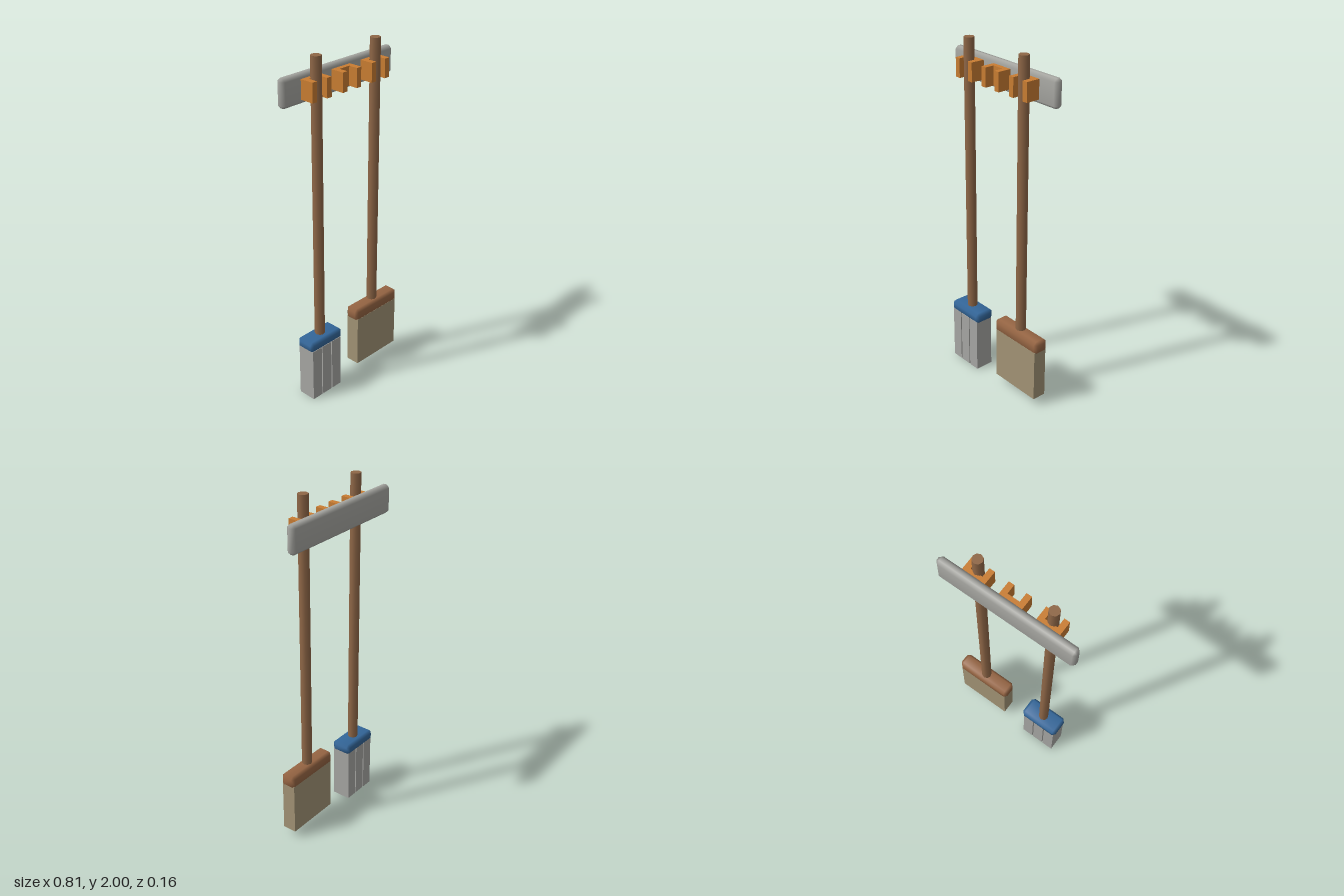
import * as THREE from 'three';
import { mergeVertices } from 'three/addons/utils/BufferGeometryUtils.js';
import { ConvexGeometry } from 'three/addons/geometries/ConvexGeometry.js';

function flatColour(name, color) {
  const m = new THREE.MeshStandardMaterial({ color });
  m.name = name;
  return m;
}

// Box with single-step bevels on every edge and smooth normals
function bevelBox(w, h, d, b) {
  const pts = [];
  for (const x of [-w / 2, w / 2]) for (const y of [-h / 2, h / 2]) for (const z of [-d / 2, d / 2]) {
    const ix = x - Math.sign(x) * b, iy = y - Math.sign(y) * b, iz = z - Math.sign(z) * b;
    pts.push(new THREE.Vector3(x, iy, iz), new THREE.Vector3(ix, y, iz), new THREE.Vector3(ix, iy, z));
  }
  const hull = new ConvexGeometry(pts);
  hull.deleteAttribute('normal');
  const geo = mergeVertices(hull, 1e-5);
  geo.computeVertexNormals();
  return geo;
}

export function createModel() {
  const model = new THREE.Group();
  model.name = 'toolRack';

  const boardGrey = flatColour('boardGrey', 0xa6a6a1);
  const clipOrange = flatColour('clipOrange', 0xc97d32);
  const poleBrown = flatColour('poleBrown', 0x8f6747);
  const headBrown = flatColour('headBrown', 0x966543);
  const headBlue = flatColour('headBlue', 0x336699);
  const mopGrey = flatColour('mopGrey', 0xa6a6a3);
  const strawTan = flatColour('strawTan', 0xa29375);

  const add = (parent, name, geo, mat, x, y, z) => {
    const mesh = new THREE.Mesh(geo, mat);
    mesh.name = name;
    mesh.position.set(x, y, z);
    parent.add(mesh);
  };
  // Box given by its limits on each axis
  const addBox = (parent, name, mat, [x0, x1], [y0, y1], [z0, z1], bevel = 0) => {
    const size = [x1 - x0, y1 - y0, z1 - z0];
    const geo = bevel ? bevelBox(...size, bevel) : new THREE.BoxGeometry(...size);
    add(parent, name, geo, mat, (x0 + x1) / 2, (y0 + y1) / 2, (z0 + z1) / 2);
  };
  const addPole = (parent, x, y0) =>
    add(parent, 'pole', new THREE.CylinderGeometry(0.029, 0.029, 2 - y0, 8), poleBrown, x, (2 + y0) / 2, 0.015);

  // Wall board
  addBox(model, 'wallBoard', boardGrey, [-0.404, 0.404], [1.749, 1.906], [-0.08, -0.027], 0.017);

  // Three U-shaped clips
  for (const x of [-0.215, 0, 0.215]) {
    const clip = new THREE.Group();
    clip.name = 'clip';
    clip.position.x = x;
    addBox(clip, 'clipBack', clipOrange, [-0.036, 0.036], [1.775, 1.882], [-0.029, 0]);
    for (const s of [-1, 1]) {
      addBox(clip, 'clipArm', clipOrange, [s * 0.051 - 0.016, s * 0.051 + 0.016], [1.775, 1.882], [-0.029, 0.054]);
    }
    model.add(clip);
  }

  // Mop: pole, blue head and three cloth strips
  const mop = new THREE.Group();
  mop.name = 'mop';
  addPole(mop, -0.217, 0.36);
  addBox(mop, 'mopHead', headBlue, [-0.338, -0.096], [0.315, 0.381], [-0.044, 0.076], 0.017);
  for (const i of [-1, 0, 1]) {
    const x = -0.218 + i * 0.0755;
    addBox(mop, 'mopStrip', mopGrey, [x - 0.034, x + 0.034], [0, 0.325], [-0.037, 0.072]);
  }
  model.add(mop);

  // Broom: pole, brown head and straw block
  const broom = new THREE.Group();
  broom.name = 'broom';
  addPole(broom, 0.215, 0.4);
  addBox(broom, 'broomHead', headBrown, [0.04, 0.39], [0.342, 0.421], [-0.028, 0.061], 0.017);
  addBox(broom, 'broomStraw', strawTan, [0.052, 0.378], [0.046, 0.355], [-0.024, 0.058]);
  model.add(broom);

  return model;
}
